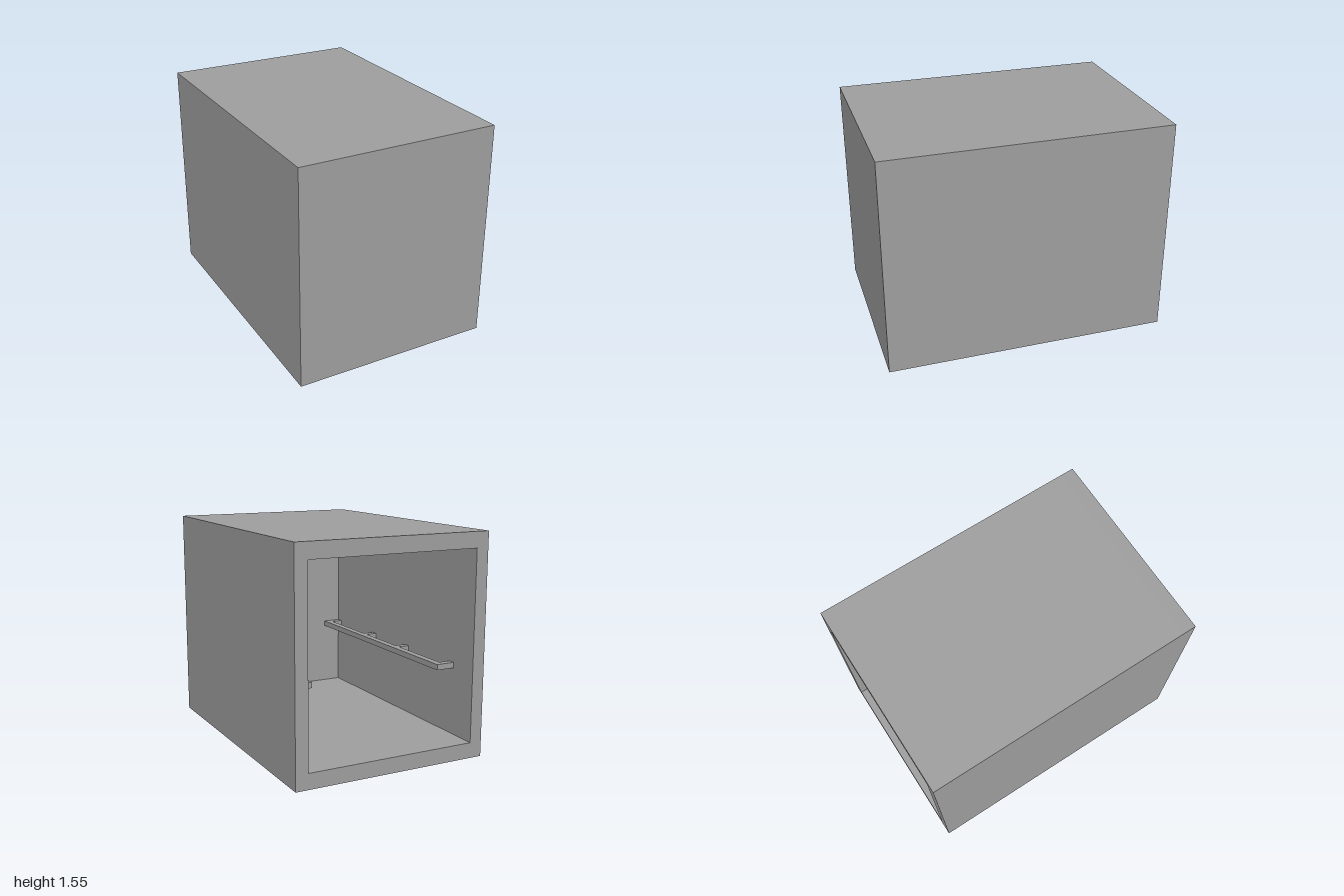
import * as THREE from 'three';

const W = 1.414, H = 1.555, BACK = -1, FRONT = 1;
const SIDE = 0.09, DECK = 0.11, PANEL = 0.1;   // wall thicknesses
const SLOT_DEPTH = 0.015, BAR = 0.05;
const STATIONS = [-0.755, -0.185, 0.295, 0.87]; // bracket and slot centres along z

const material = new THREE.MeshStandardMaterial({ color: 0x9d9d9d });

// Rectangle outline from its corners
function rect(Type, x0, y0, x1, y1) {
  const r = new Type();
  r.moveTo(x0, y0);
  r.lineTo(x1, y0);
  r.lineTo(x1, y1);
  r.lineTo(x0, y1);
  r.closePath();
  return r;
}

function add(parent, name, geometry, x, y, z) {
  const mesh = new THREE.Mesh(geometry, material);
  mesh.name = name;
  mesh.position.set(x, y, z);
  parent.add(mesh);
}

export function createModel() {
  const model = new THREE.Group();
  model.name = 'openCabinet';
  const inX = W / 2 - SIDE, ceiling = H - DECK, inFront = FRONT - PANEL;

  // Four walls as one tube, open at the back
  const tube = rect(THREE.Shape, -W / 2, 0, W / 2, H);
  tube.holes.push(rect(THREE.Path, -inX, DECK, inX, ceiling + SLOT_DEPTH));
  add(model, 'shell', new THREE.ExtrudeGeometry(tube, { depth: inFront - BACK, bevelEnabled: false }), 0, 0, BACK);

  // Closed front
  add(model, 'frontPanel', new THREE.BoxGeometry(W, H, PANEL), 0, H / 2, FRONT - PANEL / 2);

  // Ceiling layer with two rows of shallow slots
  const liner = rect(THREE.Shape, -inX, -inFront, inX, -BACK);
  for (const z of STATIONS) {
    for (const x of [-0.33, 0.33]) {
      liner.holes.push(rect(THREE.Path, x - 0.19, -z - BAR / 2, x + 0.19, -z + BAR / 2));
    }
  }
  const linerGeometry = new THREE.ExtrudeGeometry(liner, { depth: SLOT_DEPTH, bevelEnabled: false });
  linerGeometry.rotateX(-Math.PI / 2);
  add(model, 'slottedCeiling', linerGeometry, 0, ceiling, 0);

  // A rail on brackets along each side wall
  const railY = 0.607, thick = 0.04, reach = 0.135;
  const z0 = STATIONS[0] - BAR / 2, z1 = STATIONS[STATIONS.length - 1] + BAR / 2;
  for (const side of [-1, 1]) {
    const rail = new THREE.Group();
    rail.name = side > 0 ? 'leftRail' : 'rightRail';
    add(rail, 'bar', new THREE.BoxGeometry(BAR, thick, z1 - z0), side * (inX - reach + BAR / 2), railY, (z0 + z1) / 2);
    const arm = reach - BAR;
    for (const z of STATIONS) {
      add(rail, 'bracket', new THREE.BoxGeometry(arm, thick, BAR), side * (inX - arm / 2), railY, z);
    }
    model.add(rail);
  }
  return model;
}
